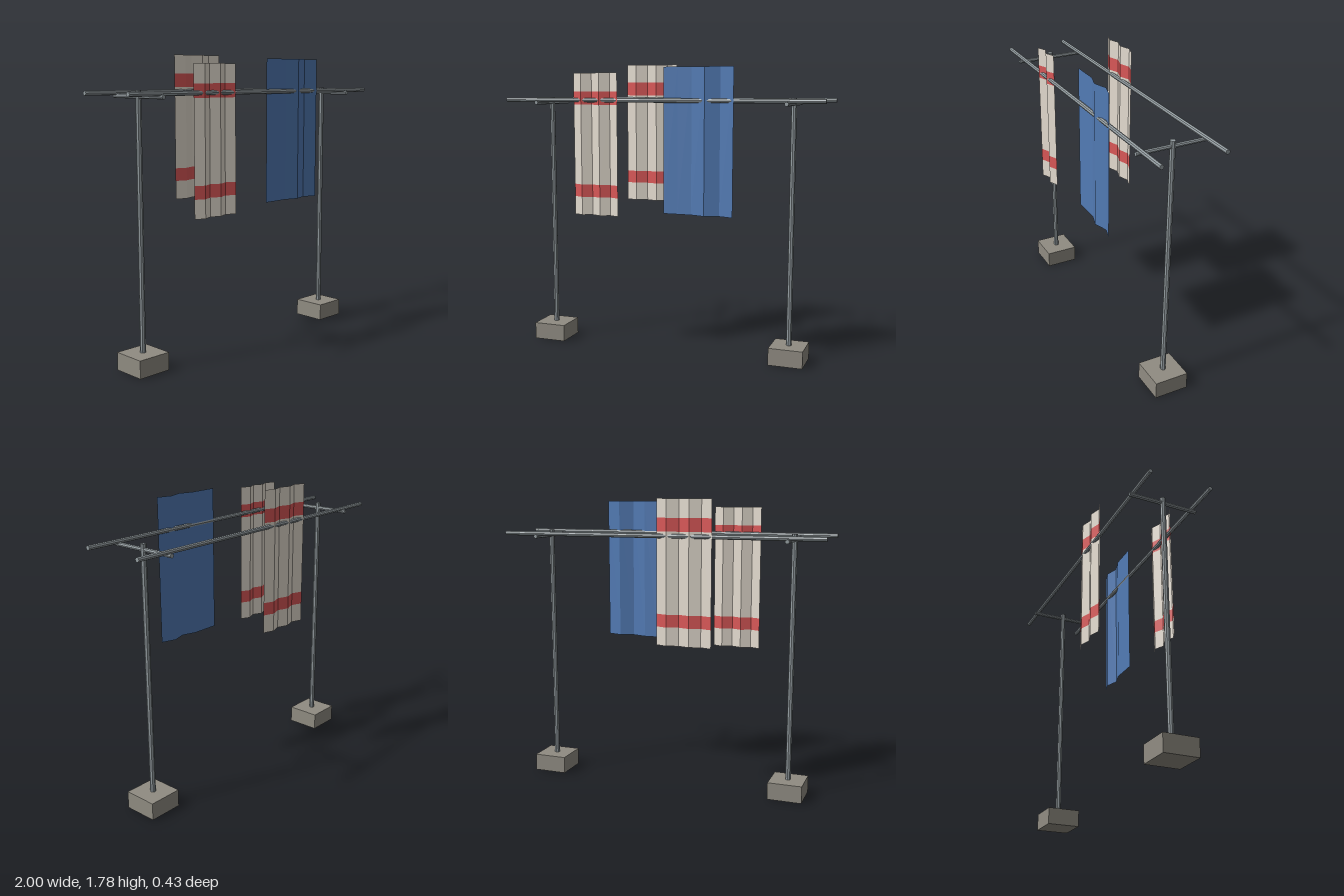
import * as THREE from 'three';

const mat = (name, color, extra = {}) => {
  const m = new THREE.MeshStandardMaterial({ color, ...extra });
  m.name = name;
  return m;
};

export function createModel() {
  const metal = mat('grey metal', 0x959ea2, { flatShading: true });
  const concrete = mat('concrete', 0x908c82);
  const cloth = { flatShading: true, side: THREE.DoubleSide };
  const linen = mat('off-white linen', 0xe5ddd1, cloth);
  const red = mat('red stripe', 0xdb5858, cloth);
  const blue = mat('blue cloth', 0x527bb5, cloth);

  const model = new THREE.Group();
  model.name = 'clothesLine';
  const add = (name, geometry, material, parent = model) => {
    const mesh = new THREE.Mesh(geometry, material);
    mesh.name = name;
    parent.add(mesh);
    return mesh;
  };

  // Two footed posts, each with a cross arm
  for (const side of [-1, 1]) {
    const x = side * 0.783;
    const label = side > 0 ? 'left' : 'right';
    add(label + 'Foot', new THREE.BoxGeometry(0.208, 0.105, 0.208), concrete).position.set(x, 0.0525, 0);
    add(label + 'Post', new THREE.CylinderGeometry(0.0165, 0.0165, 1.48, 8), metal).position.set(x, 0.843, 0);
    const arm = add(label + 'Arm', new THREE.CylinderGeometry(0.0125, 0.0125, 0.43, 8), metal);
    arm.rotation.x = Math.PI / 2;
    arm.position.set(x, 1.55, 0);
  }

  // Long rails, front and back
  for (const side of [-1, 1]) {
    const rail = add(side > 0 ? 'frontRail' : 'backRail', new THREE.CylinderGeometry(0.0135, 0.0135, 2, 8), metal);
    rail.rotation.z = Math.PI / 2;
    rail.position.set(0, 1.567, side * 0.19);
  }

  // One pleated horizontal band of cloth; folds gives the depth at each pleat
  const band = (x0, x1, y0, y1, z, folds) => {
    const n = folds.length - 1;
    const g = new THREE.PlaneGeometry(x1 - x0, y1 - y0, n, 1);
    g.translate((x0 + x1) / 2, (y0 + y1) / 2, z);
    const p = g.attributes.position;
    for (let i = 0; i < p.count; i++) p.setZ(i, z + folds[i % (n + 1)]);
    g.computeVertexNormals();
    return g;
  };

  // Striped towels with zigzag pleats, split into bands from the top down
  const towel = (name, x0, x1, top, z, depth) => {
    const group = new THREE.Group();
    group.name = name;
    model.add(group);
    const folds = [-depth, depth, -depth, depth, -depth, depth];
    const cuts = [0, 0.111, 0.191, 0.678, 0.755, 0.867];
    for (let i = 0; i < 5; i++) {
      const striped = i % 2 === 1;
      add(striped ? 'stripe' : 'towelBand', band(x0, x1, top - cuts[i + 1], top - cuts[i], z, folds),
        striped ? red : linen, group);
    }
  };
  towel('frontTowel', -0.541, -0.242, 1.73, 0.193, 0.013);
  towel('backTowel', -0.347, -0.001, 1.784, -0.193, 0.0115);

  // Plain blue sheet, flat on one side and pleated on the other
  const sheetFolds = [-0.013, -0.013, -0.013, 0.014, -0.013, 0.014];
  add('blueSheet', band(0.045, 0.478, 0.895, 1.762, 0.193, sheetFolds), blue);

  return model;
}
